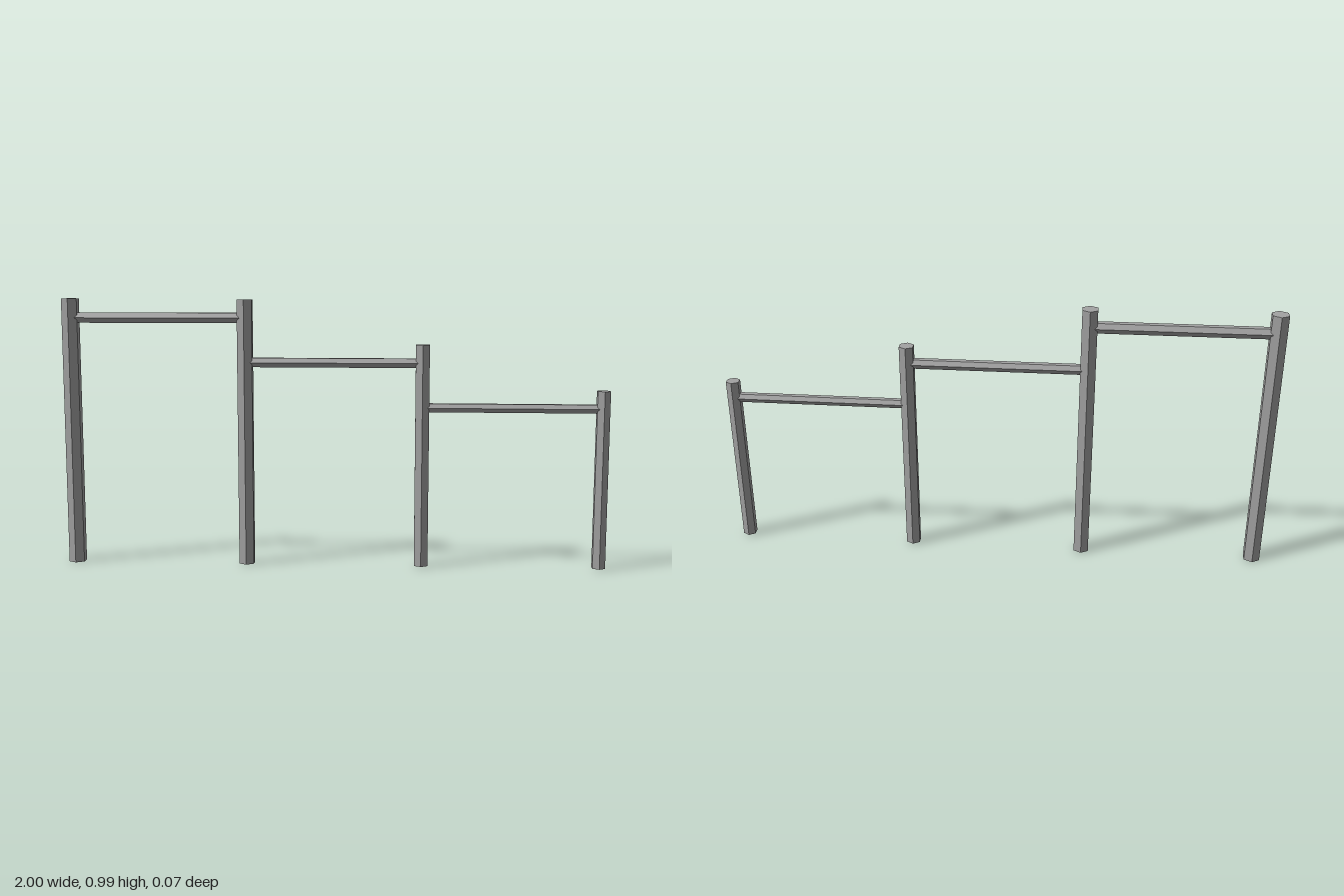
import * as THREE from 'three';

export function createModel() {
  const group = new THREE.Group();
  const steel = new THREE.MeshStandardMaterial({ color: 0xa3a3a3, flatShading: true });
  steel.name = 'grey steel';

  // Six-sided rod with a corner facing the front
  function addRod(name, radius, length, x, y) {
    const mesh = new THREE.Mesh(new THREE.CylinderGeometry(radius, radius, length, 6), steel);
    mesh.name = name;
    mesh.position.set(x, y, 0);
    group.add(mesh);
    return mesh;
  }

  // Upright posts, getting shorter and thinner towards +x
  const posts = [
    { x: -0.971, bottom: 0, top: 0.988, radius: 0.033 },
    { x: -0.324, bottom: 0.003, top: 0.985, radius: 0.0315 },
    { x: 0.325, bottom: 0.005, top: 0.823, radius: 0.029 },
    { x: 0.976, bottom: 0.006, top: 0.659, radius: 0.0265 },
  ];
  posts.forEach((p, i) => {
    addRod(`post${i + 1}`, p.radius, p.top - p.bottom, p.x, (p.top + p.bottom) / 2);
  });

  // Horizontal bars between neighbouring posts
  const bars = [
    { y: 0.918, radius: 0.0215 },
    { y: 0.756, radius: 0.0195 },
    { y: 0.594, radius: 0.018 },
  ];
  bars.forEach((b, i) => {
    const from = posts[i].x, to = posts[i + 1].x;
    const bar = addRod(`bar${i + 1}`, b.radius, to - from, (from + to) / 2, b.y);
    bar.rotation.z = Math.PI / 2;
  });

  return group;
}
